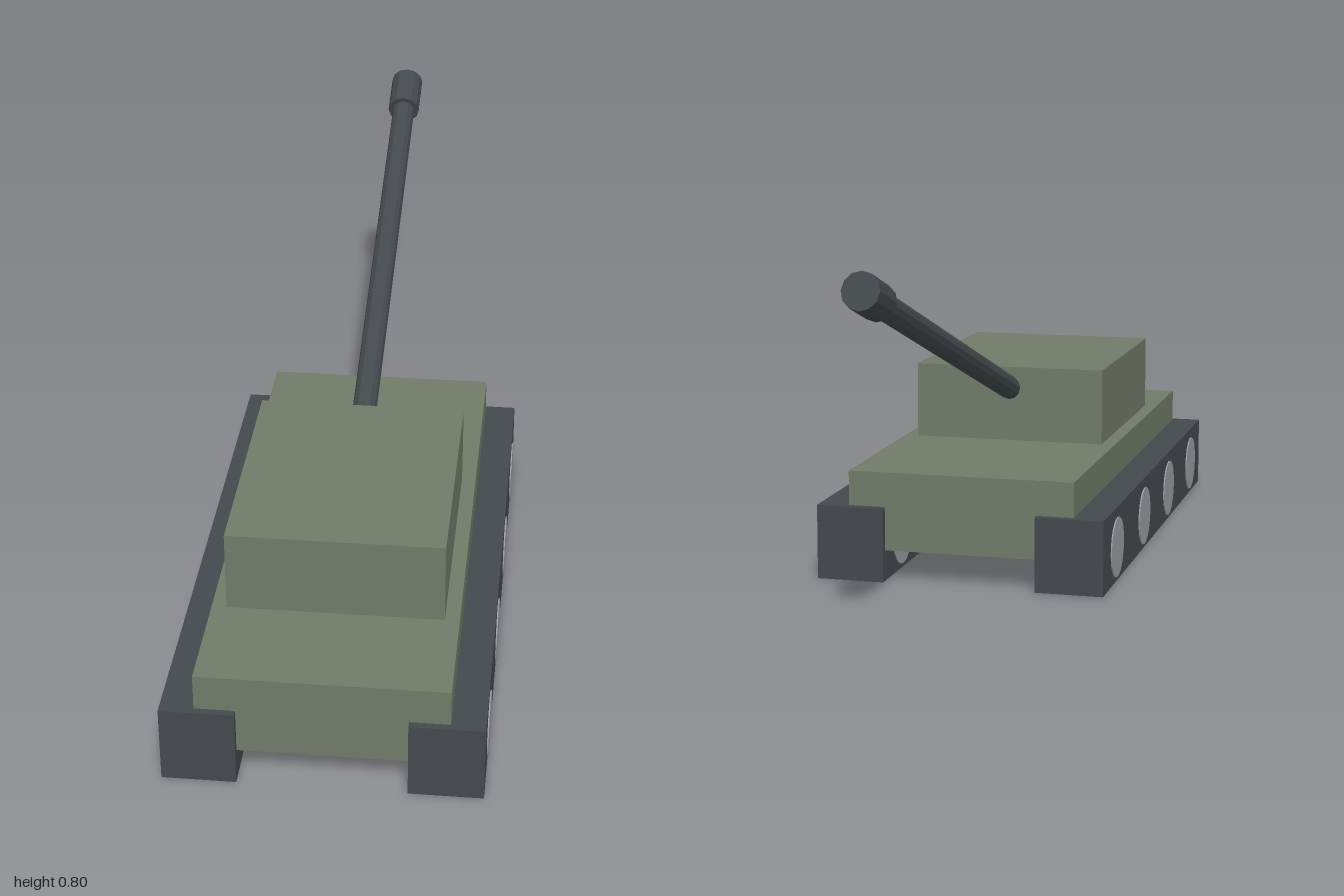
import * as THREE from 'three';

export function createModel() {
  const model = new THREE.Group();
  const paint = (color) => new THREE.MeshStandardMaterial({ color, flatShading: true });
  const olive = paint(0x717a68);
  const dark = paint(0x44494d);
  const grey = paint(0x999ba0);

  function add(parent, name, geometry, material, x, y, z) {
    const mesh = new THREE.Mesh(geometry, material);
    mesh.name = name;
    mesh.position.set(x, y, z);
    parent.add(mesh);
    return mesh;
  }

  // Hull and turret
  add(model, 'hull', new THREE.BoxGeometry(0.53, 0.183, 1.262), olive, 0, 0.1635, 0.353);
  add(model, 'turret', new THREE.BoxGeometry(0.466, 0.183, 0.563), olive, 0, 0.3455, 0.456);

  // Tracks, each with four road wheels showing slightly on both faces
  const trackGeometry = new THREE.BoxGeometry(0.158, 0.174, 1.295);
  const wheelGeometry = new THREE.CylinderGeometry(0.07, 0.07, 0.164, 24).rotateZ(Math.PI / 2);
  for (const [side, sx] of [['left', 1], ['right', -1]]) {
    add(model, side + 'Track', trackGeometry, dark, sx * 0.258, 0.087, 0.3525);
    for (let i = 0; i < 4; i++) {
      add(model, side + 'Wheel' + (i + 1), wheelGeometry, grey, sx * 0.258, 0.08, 0.853 - i * 0.332);
    }
  }

  // Gun raised 18 degrees; its local +y runs along the barrel to the muzzle
  const gun = new THREE.Group();
  gun.name = 'gun';
  gun.position.set(0, 0.764, -0.988);
  gun.rotation.x = -THREE.MathUtils.degToRad(72);
  model.add(gun);
  add(gun, 'barrel', new THREE.CylinderGeometry(0.028, 0.028, 1.24, 12), dark, 0, -0.67, 0);
  add(gun, 'muzzle', new THREE.CylinderGeometry(0.04, 0.04, 0.117, 12), dark, 0, -0.0585, 0);

  return model;
}
